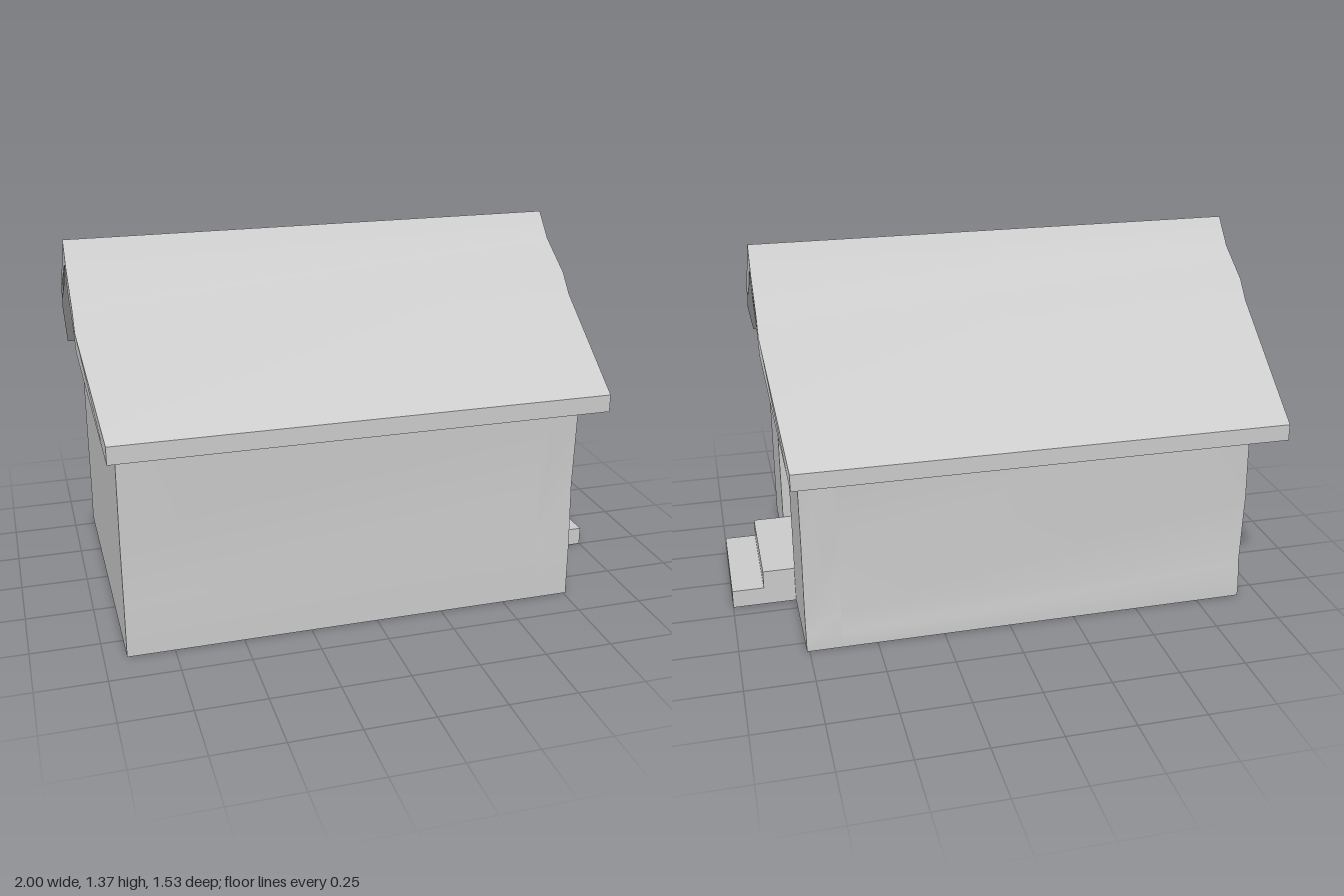
import * as THREE from 'three';
import { toCreasedNormals } from 'three/addons/utils/BufferGeometryUtils.js';

const material = new THREE.MeshStandardMaterial({ color: 0xcccccc });

function addMesh(parent, name, geometry) {
  const mesh = new THREE.Mesh(geometry, material);
  mesh.name = name;
  parent.add(mesh);
  return mesh;
}

// Box given by its limits on each axis
function addBox(parent, name, [x0, x1], [y0, y1], [z0, z1]) {
  const mesh = addMesh(parent, name, new THREE.BoxGeometry(x1 - x0, y1 - y0, z1 - z0));
  mesh.position.set((x0 + x1) / 2, (y0 + y1) / 2, (z0 + z1) / 2);
}

// Points are [z, y]; the shape is mirrored so that rotateY lays depth along +x
const toPoints = (points) => points.map(([z, y]) => new THREE.Vector2(-z, y));

function extrudeAlongX(points, x0, x1, hole) {
  const shape = new THREE.Shape(toPoints(points));
  if (hole) shape.holes.push(new THREE.Path(toPoints(hole)));
  const geometry = new THREE.ExtrudeGeometry(shape, { depth: x1 - x0, bevelEnabled: false });
  return geometry.rotateY(Math.PI / 2).translate(x0, 0, 0);
}

const smooth = (geometry) => toCreasedNormals(geometry, 0.6);

export function createModel() {
  const house = new THREE.Group();
  house.name = 'house';

  // Sagging roof line, front eave to back eave
  const roofTop = [
    [0.77, 0.86], [0.325, 1.105], [0.265, 1.175], [0.11, 1.275], [0.03, 1.365],
    [-0.055, 1.268], [-0.2, 1.175], [-0.26, 1.105], [-0.765, 0.805],
  ];
  const roofUnder = [
    [0.77, 0.797], [0.325, 1.038], [0.265, 1.1], [0.11, 1.19], [0.03, 1.277],
    [-0.055, 1.183], [-0.2, 1.1], [-0.26, 1.038], [-0.765, 0.745],
  ];

  // Roof slab, drawn in a little at the eaves
  const roof = extrudeAlongX([...roofTop, ...roofUnder.slice().reverse()], -1, 0.84);
  const pos = roof.attributes.position;
  for (let i = 0; i < pos.count; i++) {
    if (Math.abs(pos.getZ(i)) > 0.6) {
      pos.setX(i, pos.getX(i) + (pos.getX(i) > 0 ? -0.04 : 0.04));
    }
  }
  addMesh(house, 'roof', smooth(roof));

  // Uneven walls reaching up to the underside of the roof
  const wallProfile = [
    [-0.56, 0], [-0.56, 0.06], [-0.547, 0.14], [-0.558, 0.43], [-0.542, 0.77], [-0.555, 0.867],
    ...roofUnder.slice(1, -1).reverse(),
    [0.615, 0.882], [0.615, 0.74], [0.602, 0.45], [0.614, 0.2], [0.615, 0],
  ];
  const doorway = [[-0.19, 0.14], [-0.19, 0.69], [0.25, 0.69], [0.25, 0.14]];
  const doorX = 0.63;
  addMesh(house, 'walls', smooth(extrudeAlongX(wallProfile, -0.92, doorX)));
  addMesh(house, 'doorwayWall', smooth(extrudeAlongX(wallProfile, doorX, 0.76, doorway)));

  // Door frame around the two leaves, with a centre strip
  const frame = [[-0.19, 0.14], [-0.19, 0.69], [0.25, 0.69], [0.25, 0.14],
    [0.21, 0.14], [0.21, 0.655], [-0.15, 0.655], [-0.15, 0.14]];
  addMesh(house, 'doorFrame', extrudeAlongX(frame, doorX, 0.655));
  addBox(house, 'doorStrip', [doorX - 0.01, 0.65], [0.14, 0.655], [0.02, 0.04]);

  // Door handles
  for (const [name, z0, z1] of [['frontHandle', 0.06, 0.113], ['backHandle', -0.057, 0]]) {
    addBox(house, name, [doorX - 0.01, 0.68], [0.432, 0.467], [z0, z1]);
  }

  // Entrance steps
  const steps = new THREE.Group();
  steps.name = 'steps';
  addBox(steps, 'upperStep', [0.76, 0.88], [0, 0.14], [-0.19, 0.25]);
  addBox(steps, 'lowerStep', [0.88, 1], [0, 0.07], [-0.19, 0.25]);
  house.add(steps);

  return house;
}
